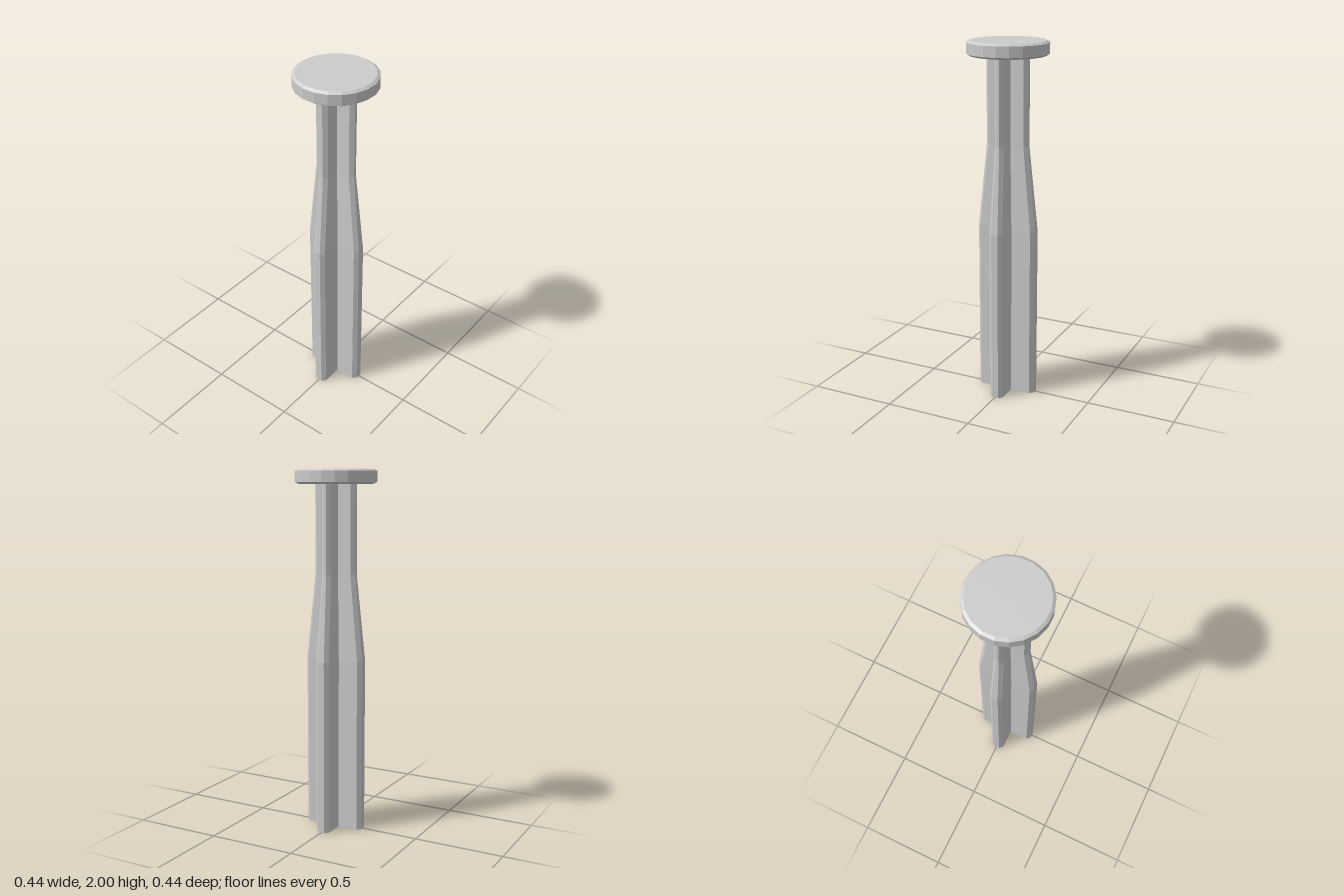
import * as THREE from 'three';

const material = new THREE.MeshStandardMaterial({ color: 0xcccccc, flatShading: true });

// Cross-shaped section with chamfered arm tips, counter-clockwise seen from above
function crossSection(reach, half, chamfer) {
  const arm = [
    [half, half], [reach - chamfer, half], [reach, half - chamfer],
    [reach, chamfer - half], [reach - chamfer, -half],
  ].reverse();
  const points = [];
  for (let i = 0; i < 4; i++) {
    const c = Math.round(Math.cos(i * Math.PI / 2)), s = Math.round(Math.sin(i * Math.PI / 2));
    for (const [x, y] of arm) points.push(new THREE.Vector2(x * c - y * s, x * s + y * c));
  }
  return points;
}

// Skin a stack of sections and cap both ends
function loft(levels) {
  const positions = [], index = [];
  const n = levels[0].section.length;
  for (const { y, section } of levels) {
    for (const p of section) positions.push(p.x, y, -p.y);
  }
  for (let k = 0; k < levels.length - 1; k++) {
    for (let i = 0; i < n; i++) {
      const a = k * n + i, b = k * n + (i + 1) % n;
      index.push(a, b, b + n, a, b + n, a + n);
    }
  }
  const top = (levels.length - 1) * n;
  for (const [a, b, c] of THREE.ShapeUtils.triangulateShape(levels[0].section, [])) {
    index.push(c, b, a, top + a, top + b, top + c);
  }
  const geometry = new THREE.BufferGeometry();
  geometry.setAttribute('position', new THREE.Float32BufferAttribute(positions, 3));
  geometry.setIndex(index);
  geometry.computeVertexNormals();
  return geometry;
}

export function createModel() {
  const model = new THREE.Group();
  model.name = 'plunger';

  // Ribbed shaft: wide below, tapering to a slimmer neck
  const wide = crossSection(0.172, 0.039, 0.02);
  const slim = crossSection(0.124, 0.028, 0.02);
  const shaft = new THREE.Mesh(loft([
    { y: 0, section: wide },
    { y: 0.97, section: wide },
    { y: 1.44, section: slim },
    { y: 1.93, section: slim },
  ]), material);
  shaft.name = 'shaft';
  model.add(shaft);

  // Round head with bevelled rims
  const profile = [
    [0, 1.922], [0.206, 1.922], [0.2215, 1.932],
    [0.2215, 1.99], [0.206, 2], [0, 2],
  ].map(([r, y]) => new THREE.Vector2(r, y));
  const head = new THREE.Mesh(new THREE.LatheGeometry(profile, 20, Math.PI / 20), material);
  head.name = 'head';
  model.add(head);

  return model;
}
